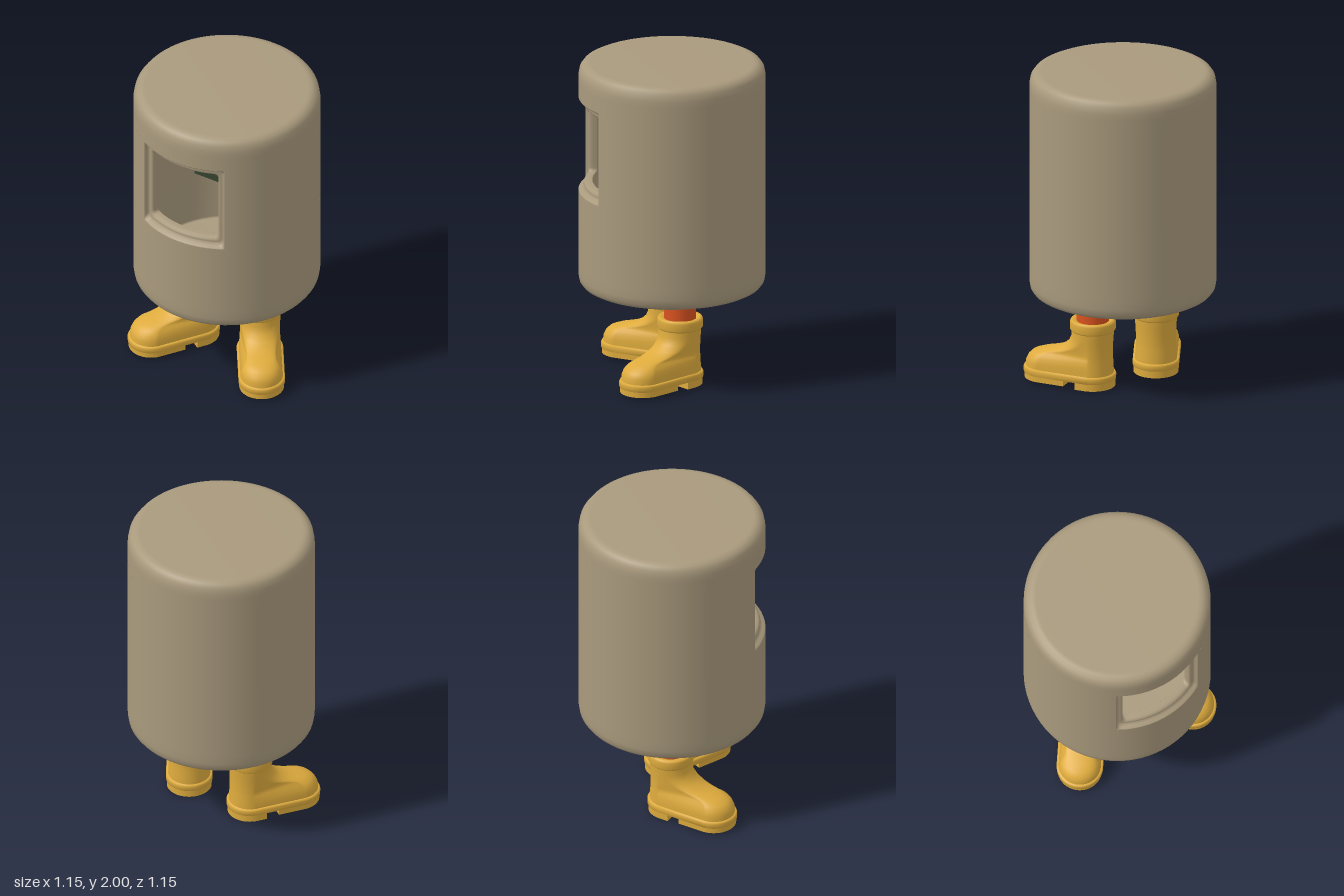
import * as THREE from 'three';

const mat = (name, color, side = THREE.FrontSide) => {
  const m = new THREE.MeshStandardMaterial({ color, side });
  m.name = name;
  return m;
};

// Skin over a list of closed rings, each with the same number of points
function loft(rings) {
  const n = rings[0].length, index = [];
  for (let j = 0; j < rings.length - 1; j++) {
    for (let i = 0; i < n; i++) {
      const k = (i + 1) % n, a = j * n + i, b = j * n + k;
      index.push(a, b, b + n, a, b + n, a + n);
    }
  }
  const g = new THREE.BufferGeometry();
  g.setAttribute('position', new THREE.Float32BufferAttribute(rings.flat(2), 3));
  g.setIndex(index);
  g.computeVertexNormals();
  return g;
}

// Foot outline at height y: heel radius, toe radius, distance heel to toe centre
function footRing([y, heel, toe, length]) {
  const ring = [], n = 40;
  for (let i = 0; i < n; i++) {
    const t = (i + 0.5) / n * Math.PI * 2, front = Math.cos(t) > 0;
    const r = front ? toe : heel;
    ring.push([r * Math.sin(t), y, r * Math.cos(t) + (front ? length : 0)]);
  }
  return ring;
}

// Rounded rectangle wrapped on a cylinder of radius r
function windowRing([hx, hy, corner, r]) {
  const arcs = [[1, 1], [-1, 1], [-1, -1], [1, -1]].map(([sx, sy], k) => {
    const pts = [];
    for (let i = 0; i <= 4; i++) {
      const t = (k + i / 4) * Math.PI / 2;
      pts.push([sx * (hx - corner) + corner * Math.cos(t), sy * (hy - corner) + corner * Math.sin(t)]);
    }
    return pts;
  });
  const flat = [];
  arcs.forEach((arc, k) => {
    flat.push(...arc);
    const a = arc[4], b = arcs[(k + 1) % 4][0];
    for (let i = 1; i < 12; i++) flat.push([a[0] + (b[0] - a[0]) * i / 12, a[1] + (b[1] - a[1]) * i / 12]);
  });
  return flat.map(([x, y]) => [x, 1.48 + y, Math.sqrt(r * r - x * x)]);
}

const lathe = (points, half = 0) => new THREE.LatheGeometry(
  points.map(([x, y]) => new THREE.Vector2(x, y)), 72, half, Math.PI * 2 - 2 * half);

export function createModel() {
  const model = new THREE.Group();
  const tan = mat('tanShell', 0xa99a7d, THREE.DoubleSide);
  const yellow = mat('yellowRubber', 0xdeab3d);
  const orange = mat('orangeLeg', 0xd9521f);
  const green = mat('darkGreen', 0x35432f);
  const add = (parent, name, geometry, material) => {
    const mesh = new THREE.Mesh(geometry, material);
    mesh.name = name;
    parent.add(mesh);
    return mesh;
  };

  // Outer shell, left open where the window sits
  const R = 0.575, inner = 0.49;
  const shell = new THREE.Group();
  shell.name = 'shell';
  model.add(shell);
  add(shell, 'lowerShell', lathe([[0, 0.565], [0.51, 0.565], [0.53, 0.568], [0.553, 0.58],
    [0.569, 0.602], [R, 0.64], [R, 0.7], [R, 1.18]]), tan);
  add(shell, 'middleShell', lathe([[R, 1.18], [R, 1.78]], Math.asin(0.29 / R)), tan);
  add(shell, 'upperShell', lathe([[R, 1.78], [R, 1.88], [R, 1.92], [0.568, 1.96],
    [0.55, 1.985], [0.525, 1.997], [0.5, 2], [0, 2]]), tan);

  // Soft recessed rim around the window
  add(shell, 'windowRim', loft([
    [0.29, 0.3, 0, R], [0.285, 0.295, 0.02, 0.572], [0.277, 0.287, 0.03, 0.555],
    [0.268, 0.278, 0.03, 0.54], [0.255, 0.265, 0.03, 0.543], [0.242, 0.252, 0.03, 0.54],
    [0.233, 0.243, 0.025, 0.528], [0.23, 0.24, 0.02, 0.51], [0.23, 0.24, 0.02, inner],
    [0.23, 0.24, 0, inner],
  ].map(windowRing)), tan);

  // Hollow inside
  add(shell, 'innerLower', lathe([[inner, 1.24], [inner, 0.64], [0.48, 0.63], [0, 0.63]]), tan);
  add(shell, 'innerMiddle', lathe([[inner, 1.72], [inner, 1.24]], Math.asin(0.23 / inner)), tan);
  add(shell, 'innerUpper', lathe([[0, 1.94], [0.48, 1.94], [inner, 1.93], [inner, 1.72]]), tan);

  // Dark block behind the window
  const block = add(model, 'windowBlock', new THREE.BoxGeometry(0.47, 0.58, 0.12), green);
  block.position.set(0, 1.53, -0.06);

  // Tread pieces under the boot
  const heelShape = new THREE.Shape();
  heelShape.absarc(0, 0, 0.138, Math.PI, Math.PI * 2);
  heelShape.lineTo(0.138, 0.06);
  heelShape.lineTo(-0.138, 0.06);
  const toeShape = new THREE.Shape();
  toeShape.moveTo(-0.138, 0.14);
  toeShape.lineTo(0.138, 0.14);
  toeShape.absarc(0, 0.31, 0.138, 0, Math.PI);
  const tread = (shape, depth) => new THREE.ExtrudeGeometry(shape,
    { depth, bevelEnabled: false, curveSegments: 20 }).rotateX(Math.PI / 2).translate(0, 0.05, 0);

  const upper = loft([
    [0.08, 0.13, 0.13, 0.31], [0.12, 0.128, 0.13, 0.308], [0.15, 0.126, 0.122, 0.302],
    [0.175, 0.125, 0.107, 0.292], [0.192, 0.124, 0.092, 0.262], [0.205, 0.124, 0.093, 0.205],
    [0.22, 0.124, 0.102, 0.14], [0.245, 0.124, 0.114, 0.075], [0.28, 0.125, 0.122, 0.028],
    [0.32, 0.128, 0.127, 0.006], [0.375, 0.131, 0.131, 0],
  ].map(footRing));
  const welt = loft([
    [0.04, 0.001, 0.001, 0.31], [0.04, 0.13, 0.13, 0.31], [0.046, 0.143, 0.143, 0.31],
    [0.075, 0.144, 0.144, 0.31], [0.087, 0.138, 0.138, 0.31], [0.087, 0.12, 0.12, 0.31],
  ].map(footRing));
  const collar = loft([
    [0.358, 0.12, 0.12, 0], [0.36, 0.134, 0.134, 0], [0.37, 0.141, 0.141, 0],
    [0.415, 0.141, 0.141, 0], [0.428, 0.135, 0.135, 0], [0.431, 0.12, 0.12, 0],
    [0.42, 0.095, 0.095, 0],
  ].map(footRing));

  // Legs and boots, toes turned outward
  for (const [side, s] of [['left', 1], ['right', -1]]) {
    const leg = new THREE.Group();
    leg.name = side + 'Leg';
    leg.position.set(s * 0.228, 0, -0.018);
    leg.rotation.y = s * 0.59;
    model.add(leg);
    add(leg, side + 'Shin', new THREE.CylinderGeometry(0.098, 0.1, 0.24, 32), orange).position.y = 0.5;
    add(leg, side + 'BootUpper', upper, yellow);
    add(leg, side + 'BootCollar', collar, yellow);
    add(leg, side + 'BootWelt', welt, yellow);
    add(leg, side + 'BootHeel', tread(heelShape, 0.05), yellow);
    add(leg, side + 'BootSole', tread(toeShape, 0.04), yellow);
  }
  return model;
}
